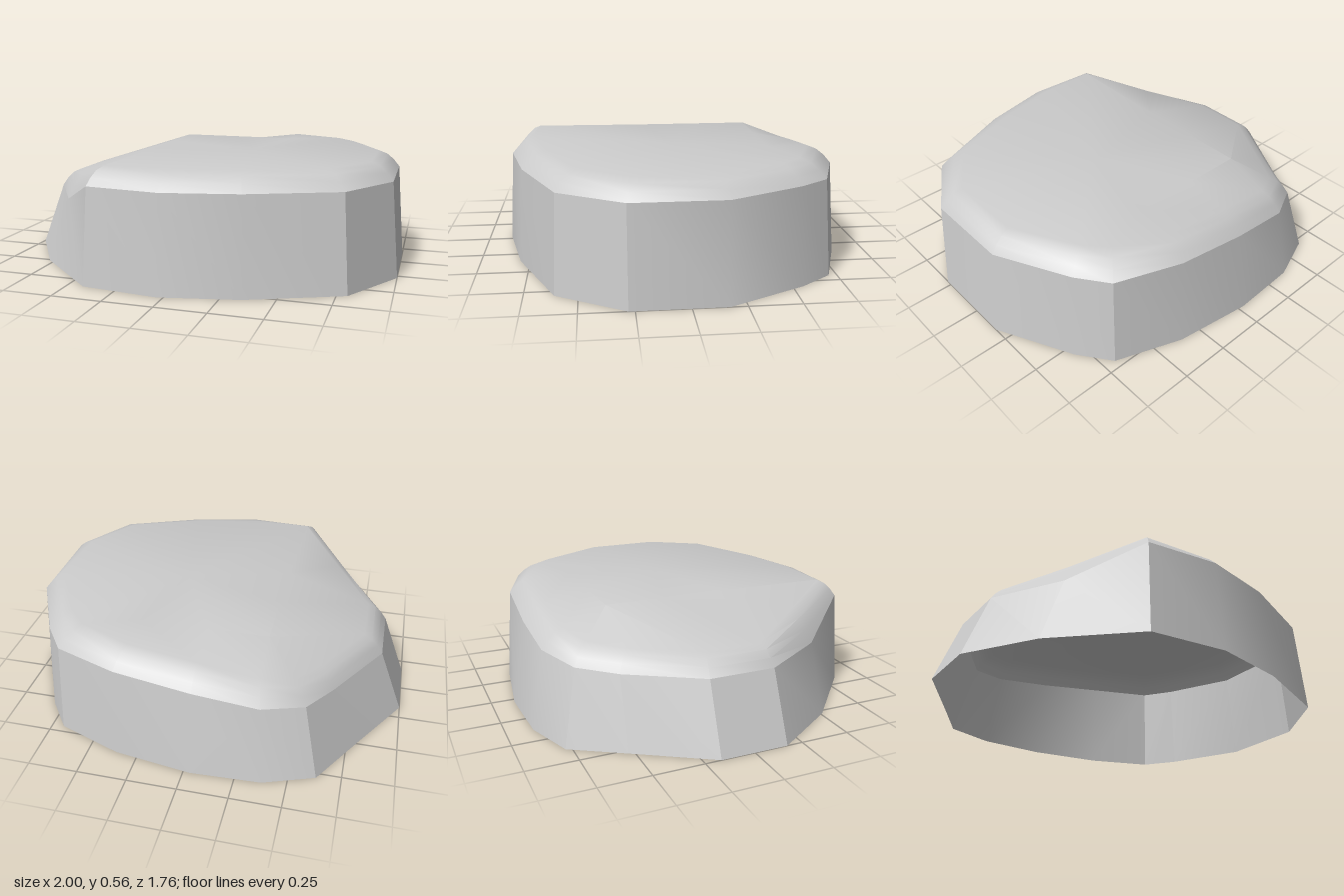
import * as THREE from 'three';
import { toCreasedNormals } from 'three/addons/utils/BufferGeometryUtils.js';

// Matching outlines, running left-back -> back -> right -> front -> left
const baseXZ = [
  [-1, -0.17], [-0.78, -0.53], [-0.63, -0.78], [-0.38, -0.87], [-0.03, -0.885], [0.36, -0.83],
  [0.69, -0.71], [0.81, -0.55], [1, -0.17], [1, 0.28], [0.8, 0.61], [0.35, 0.8],
  [-0.03, 0.88], [-0.42, 0.84], [-0.78, 0.51], [-1, 0.17],
];
const rim = [
  [-0.87, 0.34, -0.17], [-0.66, 0.34, -0.52], [-0.55, 0.36, -0.7], [-0.35, 0.39, -0.8],
  [-0.03, 0.43, -0.81], [0.35, 0.48, -0.795], [0.67, 0.48, -0.68], [0.78, 0.48, -0.53],
  [0.96, 0.48, -0.17], [0.96, 0.48, 0.28], [0.77, 0.48, 0.59], [0.34, 0.48, 0.77],
  [-0.03, 0.48, 0.85], [-0.4, 0.48, 0.81], [-0.66, 0.34, 0.5], [-0.87, 0.34, 0.16],
];
const topEdge = [
  [-0.77, 0.43, -0.15], [-0.59, 0.43, -0.46], [-0.48, 0.45, -0.62], [-0.33, 0.48, -0.69],
  [-0.03, 0.52, -0.69], [0.31, 0.565, -0.68], [0.58, 0.565, -0.57], [0.68, 0.565, -0.46],
  [0.85, 0.565, -0.15], [0.85, 0.565, 0.24], [0.68, 0.565, 0.5], [0.3, 0.565, 0.65],
  [-0.03, 0.565, 0.72], [-0.35, 0.565, 0.72], [-0.57, 0.49, 0.42], [-0.77, 0.43, 0.14],
];
// Where the sloping left and back facets meet the flat plateau
const TOP = 0.565;
const plateauBreaks = {
  0: [-0.33, TOP, -0.16], 1: [-0.33, TOP, -0.47], 2: [-0.33, TOP, -0.47], 3: [-0.33, TOP, -0.47],
  4: [-0.03, TOP, -0.47], 5: [0.31, TOP, -0.47], 14: [-0.33, TOP, 0.14], 15: [-0.33, TOP, 0.14],
};

// Ring between rim and top edge: separate shares of inset and rise round the shoulder
const shoulder = (inset, rise) => rim.map((r, i) => r.map((v, k) =>
  v + (topEdge[i][k] - v) * (k === 1 ? rise : inset)));

function shellGeometry(rings, centre) {
  const pos = [];
  const tri = (a, b, c) => {
    const t = new THREE.Triangle(...[a, b, c].map((p) => new THREE.Vector3(...p)));
    if (t.getArea() > 1e-6) pos.push(...a, ...b, ...c);
  };
  const n = rings[0].length;
  for (let i = 0; i < n; i++) {
    const j = (i + 1) % n;
    for (let k = 0; k < rings.length - 1; k++) {
      const lo = rings[k], hi = rings[k + 1];
      tri(lo[i], hi[i], hi[j]);
      tri(lo[i], hi[j], lo[j]);
    }
    if (centre) {
      const last = rings[rings.length - 1];
      tri(centre, last[j], last[i]);
    }
  }
  const g = new THREE.BufferGeometry();
  g.setAttribute('position', new THREE.Float32BufferAttribute(pos, 3));
  return toCreasedNormals(g, 0.5);
}

export function createModel() {
  const group = new THREE.Group();
  group.name = 'rock';
  const material = new THREE.MeshStandardMaterial({ color: 0xcccccc, side: THREE.DoubleSide });
  const add = (name, geometry) => {
    const mesh = new THREE.Mesh(geometry, material);
    mesh.name = name;
    group.add(mesh);
  };

  // Open-bottomed side wall
  add('sideWall', shellGeometry([baseXZ.map(([x, z]) => [x, 0, z]), rim]));

  // Rounded shoulder, sloping facets and flat plateau
  const plateau = topEdge.map((p, i) => plateauBreaks[i] ?? p);
  add('top', shellGeometry(
    [rim, shoulder(0.28, 0.45), shoulder(0.6, 0.8), topEdge, plateau], [0.2, TOP, 0]));

  return group;
}
